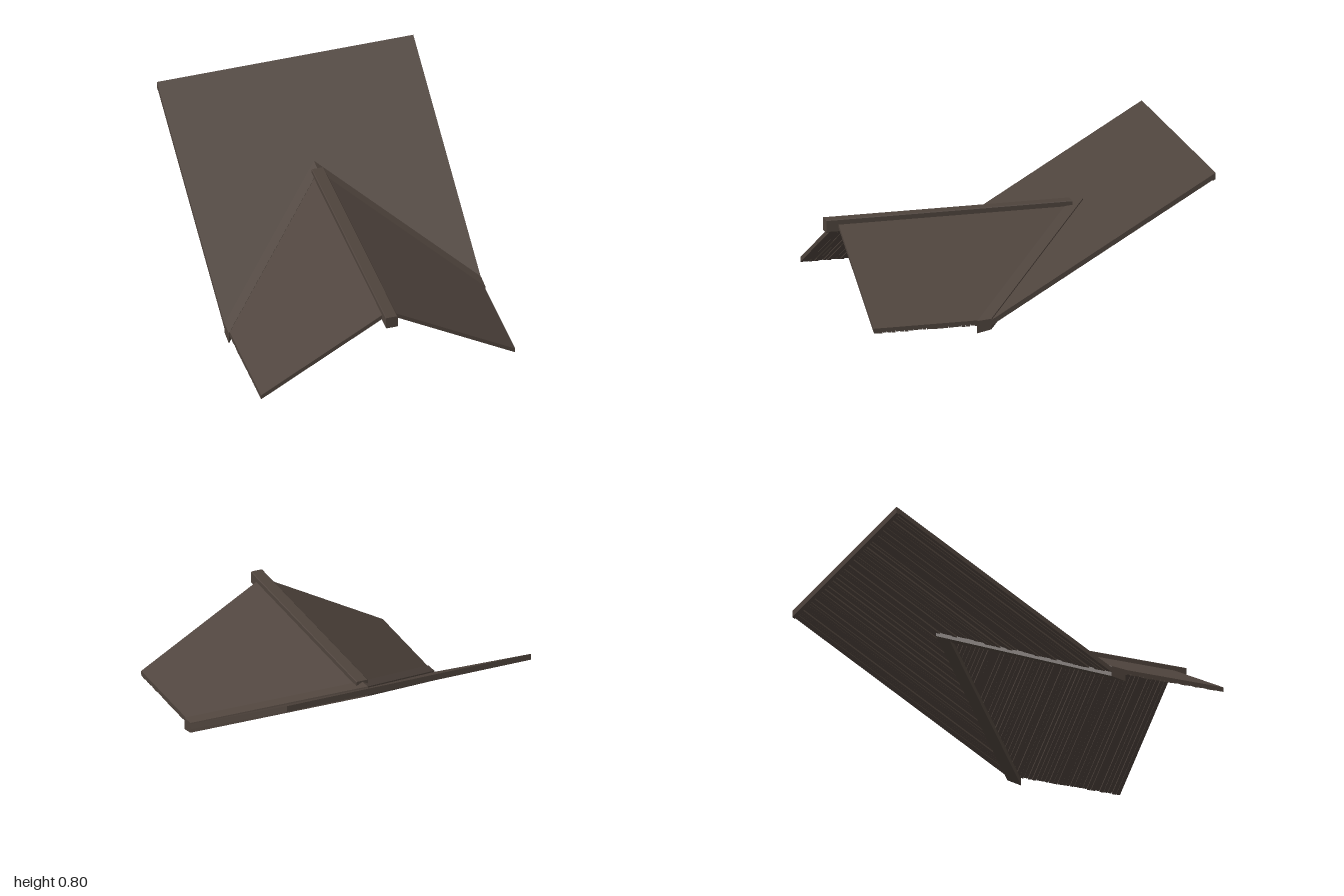
import * as THREE from 'three';
import { mergeGeometries } from 'three/addons/utils/BufferGeometryUtils.js';

const PITCH = 0.577, RIDGE = 0.487, HALF = 0.727, APEX = -0.455, FRONT = 0.93, EAVE = 0.72;
const mainTop = (x, z) => 0.8 - PITCH * (z + 1);
const gableTop = (x) => RIDGE - PITCH * Math.abs(x);

// Small seeded generator for uneven planks
function seeded(seed) {
  return () => (seed = (seed * 16807) % 2147483647) / 2147483647;
}

// Flat-faced solid between two matching rings of points (convex, top ring counter-clockwise from outside)
function loft(top, bottom) {
  const p = [], n = top.length;
  const tri = (a, b, c) => p.push(...a, ...b, ...c);
  for (let i = 1; i < n - 1; i++) {
    tri(top[0], top[i], top[i + 1]);
    tri(bottom[0], bottom[i + 1], bottom[i]);
  }
  for (let i = 0; i < n; i++) {
    const j = (i + 1) % n;
    tri(top[i], bottom[i], bottom[j]);
    tri(top[i], bottom[j], top[j]);
  }
  const g = new THREE.BufferGeometry();
  g.setAttribute('position', new THREE.Float32BufferAttribute(p, 3));
  g.computeVertexNormals();
  return g;
}

// Sloping slab over a plan outline of [x, z] points, between two depths below a roof surface
function slab(plan, height, from, to) {
  let area = 0;
  plan.forEach(([x, z], i) => {
    const [x2, z2] = plan[(i + 1) % plan.length];
    area += x * z2 - x2 * z;
  });
  const ring = area > 0 ? [...plan].reverse() : plan;
  const at = (d) => ring.map(([x, z]) => [x, height(x, z) - d, z]);
  return loft(at(from), at(to));
}

// Main slope: smooth skin, edge board and planks running down the slope
function mainSlope(s) {
  const rnd = seeded(s > 0 ? 11 : 29), planks = [], count = 32, step = HALF / count;
  const valley = (x) => APEX + x;
  const skin = [slab([[0, -1], [s * HALF, -1], [s * HALF, valley(HALF)], [0, APEX]], mainTop, 0, 0.02)];
  skin.push(slab([[0, -1], [s * HALF, -1], [s * HALF, -0.985], [0, -0.985]], mainTop, 0.02, 0.036));
  for (let i = 0; i < count; i++) {
    const a = i * step, b = a + step * (0.75 + 0.25 * rnd());
    planks.push(slab([[s * a, -0.985], [s * b, -0.985], [s * b, valley(b)], [s * a, valley(a)]],
      mainTop, 0.02, 0.026 + 0.01 * rnd()));
  }
  return [mergeGeometries(skin), mergeGeometries(planks)];
}

// Gable slope: smooth skin and planks running from ridge to eave
function gableSlope(s) {
  const rnd = seeded(s > 0 ? 53 : 71), planks = [], count = 56, step = (FRONT - APEX) / count;
  const reach = (z) => Math.min(EAVE, z - APEX);
  const skin = slab([[0, APEX], [s * EAVE, APEX + EAVE], [s * EAVE, FRONT], [0, FRONT]], gableTop, 0, 0.02);
  for (let i = 1; i < count; i++) {
    const a = APEX + i * step, b = a + step * (0.8 + 0.2 * rnd());
    planks.push(slab([[0, a], [s * reach(a), a], [s * reach(b), b], [0, b]],
      gableTop, 0.02, 0.025 + 0.006 * rnd()));
  }
  return [skin, mergeGeometries(planks)];
}

// Valley rafter: one cross-section carried from the ridge to the eave corner
function valleyRafter(s) {
  const section = [[-0.46, 0.496], [-0.379, 0.489], [-0.379, 0.42], [-0.46, 0.436]];
  const at = (x) => section.map(([z, y]) => [s * x, y - PITCH * x, z + x]);
  return s > 0 ? loft(at(HALF), at(0)) : loft(at(HALF).reverse(), at(0).reverse());
}

export function createModel() {
  const wood = new THREE.MeshStandardMaterial({ color: 0x4e433c });
  wood.name = 'weathered brown wood';
  const roof = new THREE.Group();
  roof.name = 'crossGableRoof';
  const add = (name, geometry) => {
    const mesh = new THREE.Mesh(geometry, wood);
    mesh.name = name;
    roof.add(mesh);
    return mesh;
  };

  for (const [s, side] of [[1, 'left'], [-1, 'right']]) {
    const [mainSkin, mainPlanks] = mainSlope(s);
    add(side + 'MainSlope', mainSkin);
    add(side + 'MainPlanks', mainPlanks);
    const [gableSkin, gablePlanks] = gableSlope(s);
    add(side + 'GableSlope', gableSkin);
    add(side + 'GablePlanks', gablePlanks);
    add(side + 'ValleyRafter', valleyRafter(s));
  }

  // Ridge beam projecting past the gable, with slightly worn corners
  const w = 0.034, c = 0.004, y0 = 0.427, y1 = 0.497;
  const outline = new THREE.Shape([
    [-w + c, y0], [w - c, y0], [w, y0 + c], [w, y1 - c],
    [w - c, y1], [-w + c, y1], [-w, y1 - c], [-w, y0 + c],
  ].map(([x, y]) => new THREE.Vector2(x, y)));
  const beam = new THREE.ExtrudeGeometry(outline, { depth: 1.39, bevelEnabled: false });
  add('ridgeBeam', beam).position.z = -0.39;

  return roof;
}
